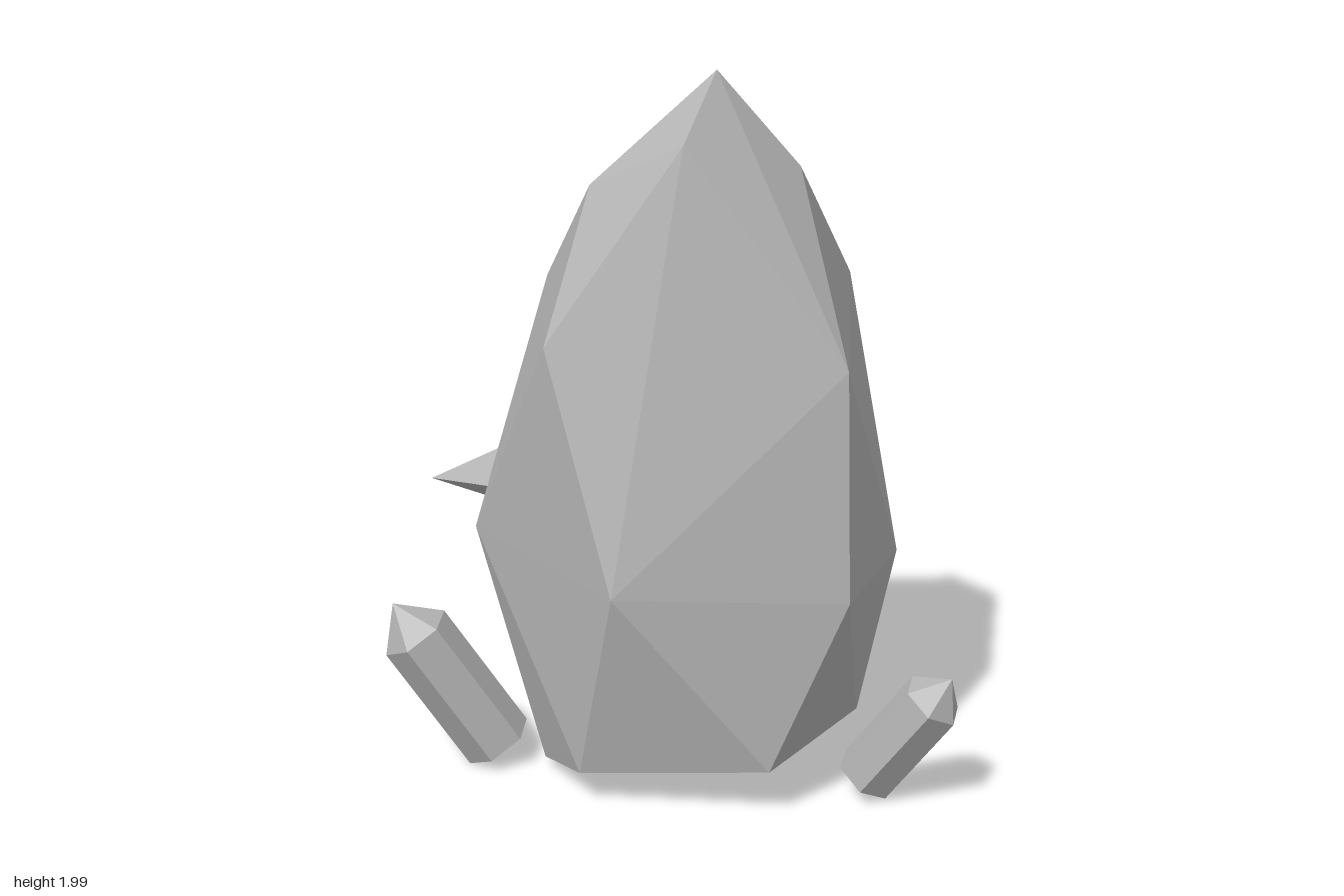
import * as THREE from 'three';
import { ConvexGeometry } from 'three/addons/geometries/ConvexGeometry.js';

const stone = new THREE.MeshStandardMaterial({ color: 0xb2b2b2, flatShading: true });
stone.name = 'grey stone';

// Faceted convex solid around a few corner points
function facetedSolid(name, corners) {
  const mesh = new THREE.Mesh(new ConvexGeometry(corners.map(c => new THREE.Vector3(...c))), stone);
  mesh.name = name;
  return mesh;
}

// Six-sided prism with a pointed end, running from base to tip
function crystal(name, base, tip, radius, pointLength) {
  const from = new THREE.Vector3(...base);
  const axis = new THREE.Vector3(...tip).sub(from);
  const shaftLength = axis.length() - pointLength;
  const shaft = new THREE.Mesh(new THREE.CylinderGeometry(radius, radius, shaftLength, 6), stone);
  shaft.name = 'crystalShaft';
  shaft.position.y = shaftLength / 2;
  const point = new THREE.Mesh(new THREE.ConeGeometry(radius, pointLength, 6, 1, true), stone);
  point.name = 'crystalPoint';
  point.position.y = shaftLength + pointLength / 2;
  const group = new THREE.Group();
  group.name = name;
  group.add(shaft, point);
  group.position.copy(from);
  group.quaternion.setFromUnitVectors(new THREE.Vector3(0, 1, 0), axis.normalize());
  return group;
}

export function createModel() {
  const model = new THREE.Group();
  model.name = 'crystalRock';

  // Main boulder: rings of corners from the base up to the peak
  model.add(facetedSolid('boulder', [
    // base
    [0.31, 0.15, 0.405], [-0.215, 0.105, 0.405], [-0.365, 0.035, 0.175],
    [-0.273, 0.12, -0.27], [0.13, 0.087, -0.33], [0.495, 0.145, -0.065],
    // belly
    [0.51, 0.62, 0.32], [-0.1, 0.665, 0.517], [-0.553, 0.72, 0.17],
    [-0.32, 0.585, -0.325], [0.32, 0.6, -0.375], [0.59, 0.605, -0.15],
    // shoulders
    [0.488, 1.245, 0.255], [-0.305, 1.305, 0.37], [-0.403, 1.375, -0.11],
    [-0.08, 1.285, -0.335], [0.43, 1.385, -0.255],
    // crown and peak
    [0.32, 1.735, 0], [0.042, 1.825, 0.228], [-0.22, 1.7, 0.165],
    [-0.18, 1.68, -0.08], [0.105, 2, 0.075],
  ]));

  // Sharp spike on the side
  model.add(facetedSolid('sideSpike', [
    [-0.714, 0.805, 0.035],
    [-0.37, 0.97, -0.02], [-0.37, 0.765, -0.2], [-0.37, 0.72, 0.05], [-0.37, 0.85, 0.23],
  ]));

  // Small crystals leaning outward around the foot
  model.add(crystal('rightCrystal', [-0.507, 0.062, 0.155], [-0.78, 0.5, 0.24], 0.102, 0.11));
  model.add(crystal('leftCrystal', [0.55, 0.066, 0.195], [0.785, 0.4, 0.265], 0.088, 0.09));
  model.add(crystal('backCrystal', [-0.285, 0.06, -0.33], [-0.425, 0.34, -0.482], 0.076, 0.075));

  return model;
}
